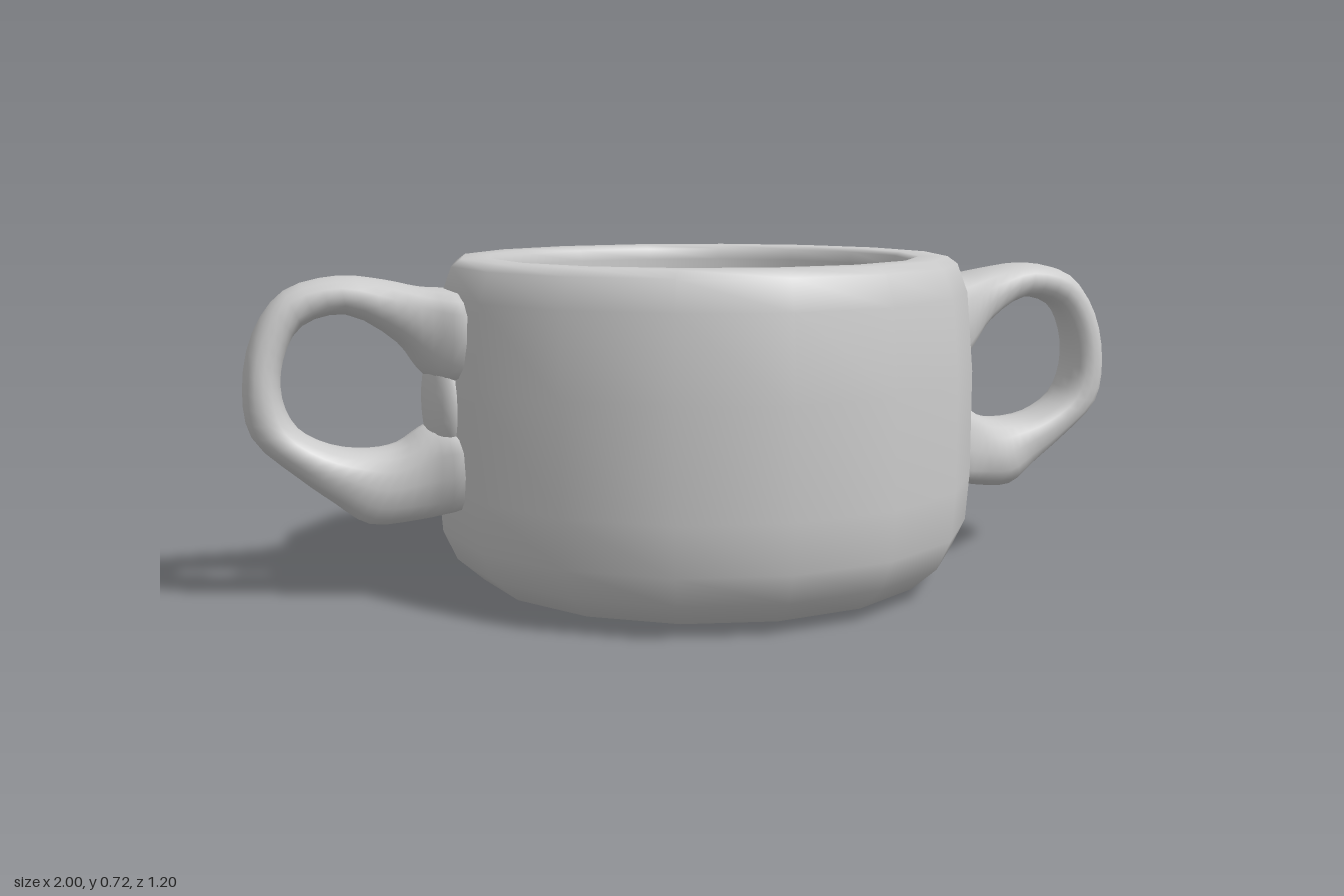
import * as THREE from 'three';

const material = new THREE.MeshStandardMaterial({ color: 0xcccccc });

// Hollow 16-sided bowl: outer wall, rim, inner wall and floor in one profile
function createBowl() {
  const profile = [
    [0, 0], [0.4, 0.002], [0.505, 0.02], [0.562, 0.07], [0.592, 0.135], [0.6, 0.24],
    [0.6, 0.47], [0.585, 0.645], [0.562, 0.708], [0.54, 0.724],
    [0.478, 0.724], [0.466, 0.715], [0.46, 0.69], [0.458, 0.4], [0.456, 0.125],
    [0.448, 0.107], [0.42, 0.1], [0, 0.098],
  ].map(([r, y]) => new THREE.Vector2(r, y));
  const bowl = new THREE.Mesh(new THREE.LatheGeometry(profile, 16), material);
  bowl.name = 'bowl';
  return bowl;
}

// Stations from upper to lower root: outer x, outer y, inner x, inner y, half width in z
const stations = [
  [0.53, 0.66, 0.53, 0.47, 0.18],
  [0.592, 0.663, 0.6, 0.465, 0.17],
  [0.635, 0.668, 0.64, 0.495, 0.125],
  [0.7, 0.683, 0.68, 0.55, 0.092],
  [0.8, 0.694, 0.785, 0.612, 0.068],
  [0.91, 0.665, 0.875, 0.59, 0.06],
  [0.975, 0.58, 0.915, 0.52, 0.063],
  [1.0, 0.46, 0.92, 0.44, 0.068],
  [0.985, 0.36, 0.89, 0.375, 0.07],
  [0.9, 0.275, 0.82, 0.335, 0.073],
  [0.82, 0.21, 0.74, 0.325, 0.08],
  [0.755, 0.165, 0.68, 0.335, 0.1],
  [0.66, 0.172, 0.64, 0.362, 0.125],
  [0.595, 0.19, 0.6, 0.375, 0.17],
  [0.53, 0.195, 0.53, 0.37, 0.18],
];

// Flared loop handle, lofted through sections between the two outlines
function createLoop() {
  const curve = (pick) => new THREE.CatmullRomCurve3(stations.map(pick));
  const outer = curve((s) => new THREE.Vector3(s[0], s[1], s[4]));
  const inner = curve((s) => new THREE.Vector3(s[2], s[3], s[4]));
  const steps = (stations.length - 1) * 3, sides = 16;
  const positions = [], indices = [];
  for (let i = 0; i <= steps; i++) {
    const a = outer.getPoint(i / steps), b = inner.getPoint(i / steps);
    // Near the bowl the sections turn angular and wrap around the wall
    const root = 1 - THREE.MathUtils.smoothstep((a.x + b.x) / 2, 0.6, 0.74);
    const power = 0.85 - 0.2 * root;
    const soften = (v) => Math.sign(v) * Math.pow(Math.abs(v), power);
    for (let j = 0; j < sides; j++) {
      const angle = (j / sides) * Math.PI * 2;
      const t = (1 - soften(Math.cos(angle))) / 2;
      const z = a.z * soften(Math.sin(angle));
      positions.push(
        THREE.MathUtils.lerp(a.x, b.x, t) - 0.19 * root * Math.abs(z),
        THREE.MathUtils.lerp(a.y, b.y, t),
        z,
      );
      if (i < steps) {
        const p = i * sides + j, q = i * sides + ((j + 1) % sides);
        indices.push(p, q, p + sides, q, q + sides, p + sides);
      }
    }
  }
  const geometry = new THREE.BufferGeometry();
  geometry.setAttribute('position', new THREE.Float32BufferAttribute(positions, 3));
  geometry.setIndex(indices);
  geometry.computeVertexNormals();
  const loop = new THREE.Mesh(geometry, material);
  loop.name = 'handleLoop';
  return loop;
}

function createHandle() {
  // Low swelling on the wall that joins the two roots
  const web = new THREE.Mesh(new THREE.SphereGeometry(1, 24, 16), material);
  web.name = 'handleWeb';
  web.scale.set(0.055, 0.15, 0.13);
  web.position.set(0.575, 0.42, 0);
  const handle = new THREE.Group();
  handle.add(createLoop(), web);
  return handle;
}

export function createModel() {
  const model = new THREE.Group();
  model.name = 'twoHandledCup';
  model.add(createBowl());

  // Matching handles on opposite sides
  const left = createHandle();
  left.name = 'leftHandle';
  const right = left.clone();
  right.name = 'rightHandle';
  right.rotation.y = Math.PI;
  model.add(left, right);
  return model;
}
